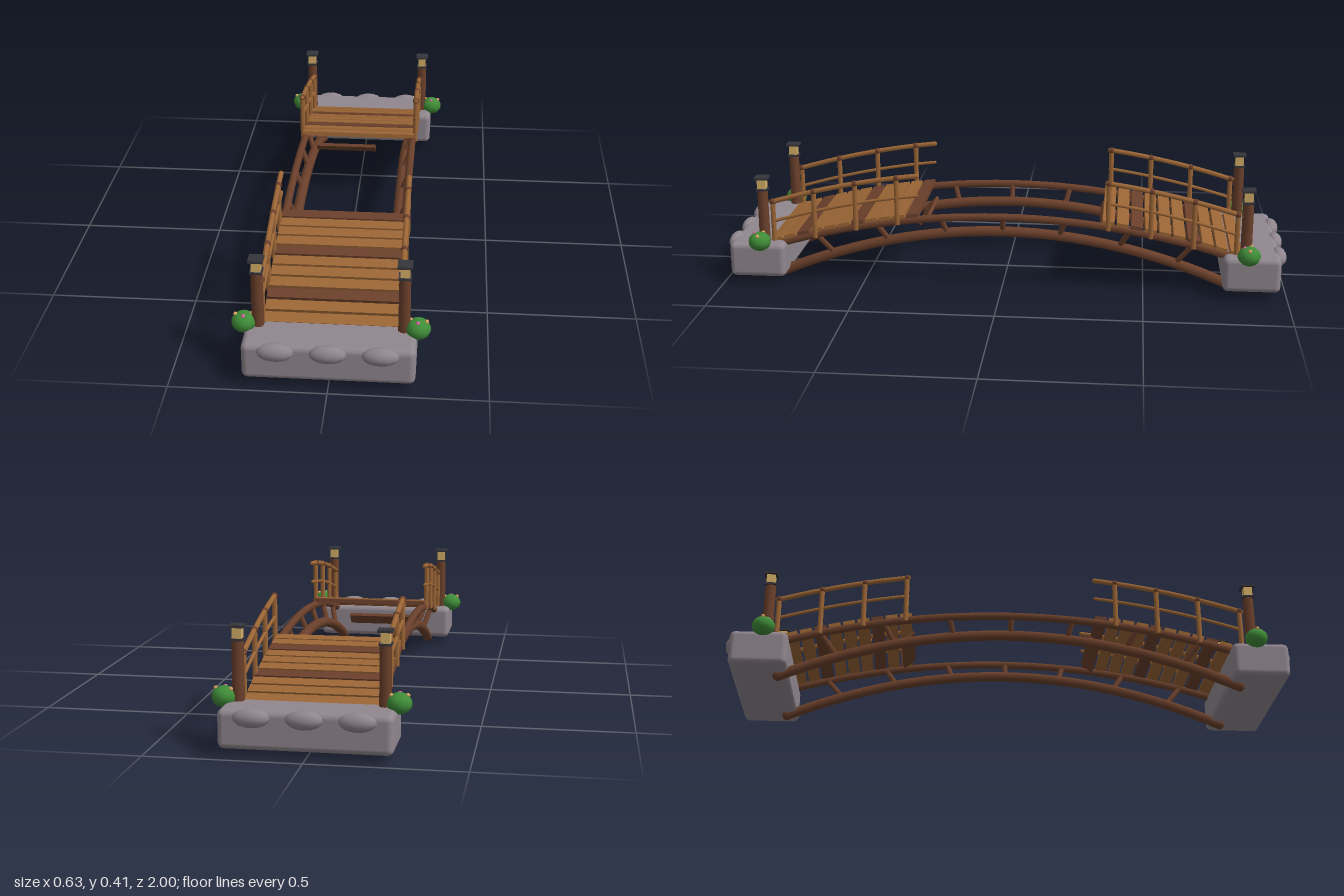
import * as THREE from 'three';
import { RoundedBoxGeometry } from 'three/addons/geometries/RoundedBoxGeometry.js';

const mat = (name, color, flatShading = false) => {
  const m = new THREE.MeshStandardMaterial({ color, flatShading });
  m.name = name;
  return m;
};

// Arch heights along z
const SPAN = 0.82;
const upperY = z => 0.262 - 0.125 * (z / SPAN) ** 2;
const lowerY = z => 0.2 - 0.18 * (z / SPAN) ** 2;
const slope = z => Math.atan(0.25 * z / SPAN ** 2);

export function createModel() {
  const model = new THREE.Group();
  model.name = 'brokenFootbridge';
  const wood = mat('plank wood', 0x9c6636);
  const darkWood = mat('dark wood', 0x6b402b);
  const stone = mat('stone', 0x91878f);
  const leaf = mat('leaf green', 0x3f8c38);
  const metal = mat('dark metal', 0x35353c);
  const glow = mat('lantern glow', 0xd6b067);
  const pink = mat('pink petal', 0xd765a4);
  const cream = mat('cream petal', 0xd9a763);

  const add = (name, geo, material, x = 0, y = 0, z = 0) => {
    const m = new THREE.Mesh(geo, material);
    m.name = name;
    m.position.set(x, y, z);
    model.add(m);
    return m;
  };
  const box = (name, w, h, d, material, x, y, z) =>
    add(name, new THREE.BoxGeometry(w, h, d), material, x, y, z);
  const ball = (name, r, material, x, y, z, ws = 8, hs = 6) =>
    add(name, new THREE.SphereGeometry(r, ws, hs), material, x, y, z);
  // Round bar between two points
  const bar = (name, a, b, r, material) => {
    const d = b.clone().sub(a);
    const m = add(name, new THREE.CylinderGeometry(r, r, d.length(), 8), material);
    m.position.copy(a).add(b).multiplyScalar(0.5);
    m.quaternion.setFromUnitVectors(new THREE.Vector3(0, 1, 0), d.normalize());
  };
  // Round beam following a height rule, with rounded ends
  const beam = (name, x, z0, z1, yAt, r, material) => {
    const pts = [];
    for (let i = 0; i <= 12; i++) {
      const z = z0 + (z1 - z0) * i / 12;
      pts.push(new THREE.Vector3(x, yAt(z), z));
    }
    add(name, new THREE.TubeGeometry(new THREE.CatmullRomCurve3(pts), 28, r, 8), material);
    for (const p of [pts[0], pts[12]]) ball(name + 'End', r, material, p.x, p.y, p.z);
  };

  // Deck planks, with the middle of the deck missing
  for (let i = 0; i < 34; i++) {
    if (i > 10 && i < 24) continue;
    const z = 0.815 - 0.0495 * i;
    const p = box('plank', 0.434, 0.016, 0.042, i % 4 === 2 ? darkWood : wood, 0, upperY(z) + 0.016, z);
    p.rotation.x = slope(z);
  }

  // Broken planks hanging at the gap
  for (const [z, a] of [[0.3, 0.79], [-0.362, -0.75]]) {
    box('hangingPlank', 0.23, 0.012, 0.05, darkWood, -0.048, 0.197, z).rotation.x = a;
  }

  for (const sx of [-1, 1]) {
    // Arched beams and the struts between them
    beam('upperBeam', sx * 0.209, -SPAN, SPAN, upperY, 0.014, darkWood);
    beam('lowerBeam', sx * 0.18, -0.81, 0.81, lowerY, 0.019, darkWood);
    for (const z of [-0.67, -0.45, -0.22, 0, 0.22, 0.45, 0.67]) {
      bar('strut', new THREE.Vector3(sx * 0.207, upperY(z), z),
        new THREE.Vector3(sx * 0.182, lowerY(z * 0.91), z * 0.91), 0.01, darkWood);
    }

    // Railings beside each remaining deck half
    for (const [z0, z1] of [[0.825, 0.3], [-0.825, -0.368]]) {
      const s = Math.sign(z0);
      beam('topRail', sx * 0.22, z0, z1, z => upperY(z) + 0.163, 0.009, wood);
      beam('middleRail', sx * 0.22, z0, z1, z => upperY(z) + 0.09, 0.006, wood);
      for (let i = 0; i < 4; i++) {
        const z = s * (0.82 - 0.149 * i);
        bar('railPost', new THREE.Vector3(sx * 0.22, upperY(z) - 0.008, z),
          new THREE.Vector3(sx * 0.22, upperY(z) + 0.165, z), 0.009, wood);
        ball('railKnob', 0.012, darkWood, sx * 0.22, upperY(z) + 0.163, z);
      }
    }
  }

  for (const sz of [-1, 1]) {
    // Stone abutment with three boulders on its outer face
    add('abutment', new RoundedBoxGeometry(0.542, 0.125, 0.2, 3, 0.02), stone, 0, 0.0925, sz * 0.875);
    for (const x of [-0.163, 0, 0.163]) {
      ball('boulder', 1, stone, x, 0.132, sz * 0.972, 12, 8).scale.set(0.06, 0.03, 0.028);
    }

    for (const sx of [-1, 1]) {
      // Lantern post
      const x = sx * 0.23, z = sz * 0.852;
      add('lanternPost', new THREE.CylinderGeometry(0.019, 0.02, 0.205, 10), darkWood, x, 0.2425, z);
      box('lanternBase', 0.04, 0.007, 0.04, metal, x, 0.349, z);
      box('lanternLight', 0.03, 0.036, 0.03, glow, x, 0.37, z);
      box('lanternRoof', 0.047, 0.008, 0.047, metal, x, 0.391, z);

      // Flowering bush
      const bx = sx * 0.274, bz = sz * 0.86;
      ball('bush', 0.04, leaf, bx, 0.168, bz, 12, 9).scale.y = 0.85;
      ball('pinkFlower', 0.007, pink, bx + sx * -0.001, 0.196, bz + 0.016);
      ball('creamFlower', 0.007, cream, bx + sx * 0.026, 0.194, bz);
      ball('creamFlower', 0.007, cream, bx - sx * 0.024, 0.194, bz - 0.008);
    }
  }
  return model;
}
